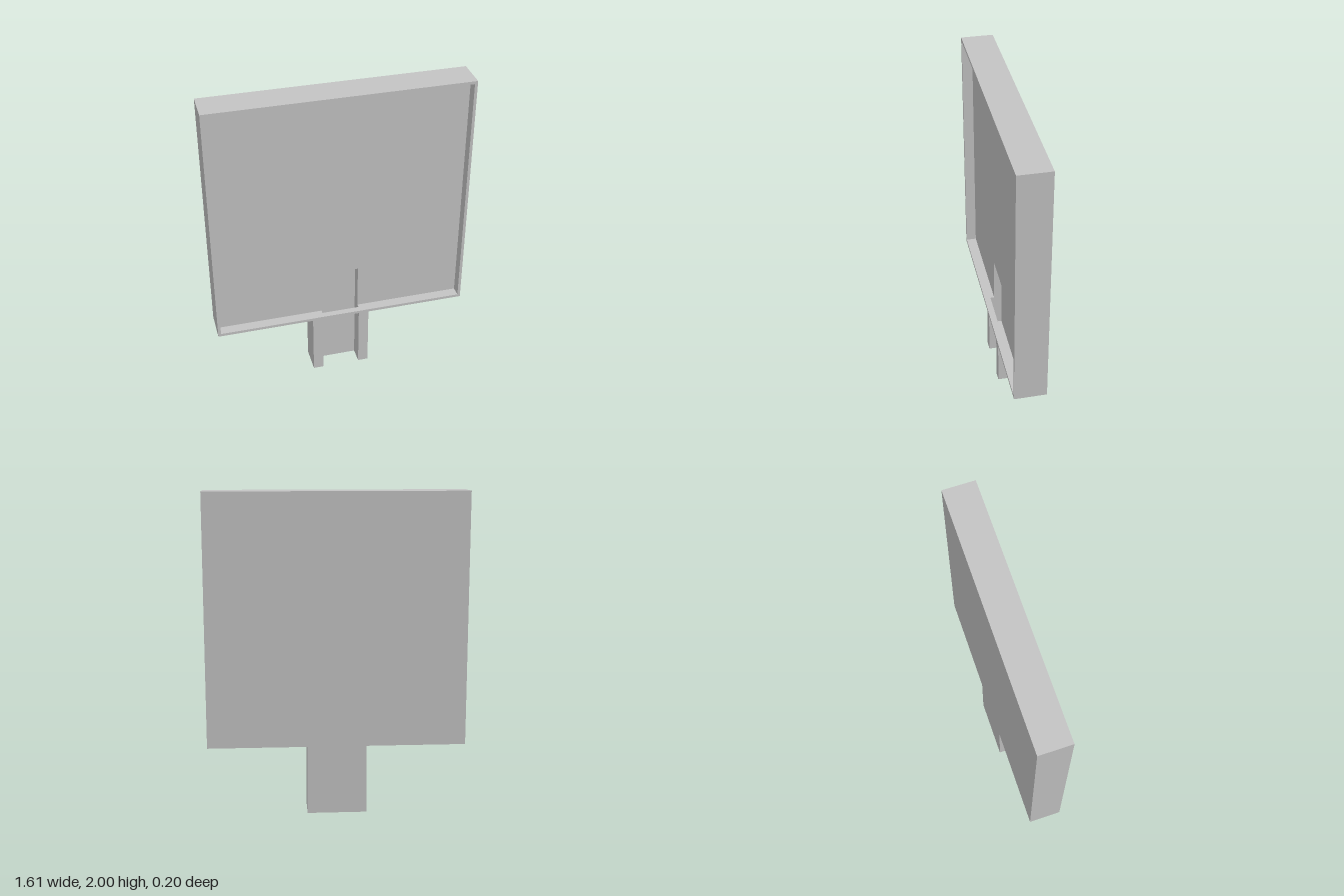
import * as THREE from 'three';

const W = 0.803, TOP = 2, LOW = 0.432;    // panel half width, top and bottom
const RIM = 0.018;                        // rim thickness
const STEM = 0.185, SLOT = 0.12, SLOT_TOP = 0.742;
const FLOOR = 0.035;                      // depth of the recessed panel face

const shapeOf = (points) => new THREE.Shape(points.map(([x, y]) => new THREE.Vector2(x, y)));
const rect = (x0, y0, x1, y1) => shapeOf([[x0, y0], [x1, y0], [x1, y1], [x0, y1]]);

export function createModel() {
  const group = new THREE.Group();
  const grey = new THREE.MeshStandardMaterial({ color: 0xc4c4c4 });
  grey.name = 'plain light grey';

  // Extrude an outline between two depths
  const layer = (name, shape, z0, z1) => {
    const geometry = new THREE.ExtrudeGeometry(shape, { depth: z1 - z0, bevelEnabled: false });
    geometry.translate(0, 0, z0);
    const mesh = new THREE.Mesh(geometry, grey);
    mesh.name = name;
    group.add(mesh);
  };

  // Solid back of panel and stem
  const outer = [[STEM, 0], [STEM, LOW], [W, LOW], [W, TOP], [-W, TOP], [-W, LOW], [-STEM, LOW], [-STEM, 0]];
  layer('backPlate', shapeOf(outer), -0.1, -0.03);

  // Panel face, with the slot running up from the stem
  layer('slottedPlate', shapeOf([
    ...outer, [-SLOT, 0], [-SLOT, SLOT_TOP], [SLOT, SLOT_TOP], [SLOT, 0],
  ]), -0.03, FLOOR);

  // Rear part of the rim, where the slot passes through the bottom rail
  const ix = W - RIM, iy0 = LOW + RIM, iy1 = TOP - RIM;
  layer('rimBase', shapeOf([
    [SLOT, LOW], [W, LOW], [W, TOP], [-W, TOP], [-W, LOW], [-SLOT, LOW],
    [-SLOT, iy0], [-ix, iy0], [-ix, iy1], [ix, iy1], [ix, iy0], [SLOT, iy0],
  ]), FLOOR, 0.06);

  // Front part of the rim, a closed frame
  const frame = rect(-W, LOW, W, TOP);
  frame.holes.push(rect(-ix, iy0, ix, iy1));
  layer('rim', frame, 0.06, 0.1);

  // Two front ridges on the stem, either side of the channel
  layer('leftStemRidge', rect(SLOT, 0, STEM, LOW), FLOOR, 0.07);
  layer('rightStemRidge', rect(-STEM, 0, -SLOT, LOW), FLOOR, 0.07);

  return group;
}
